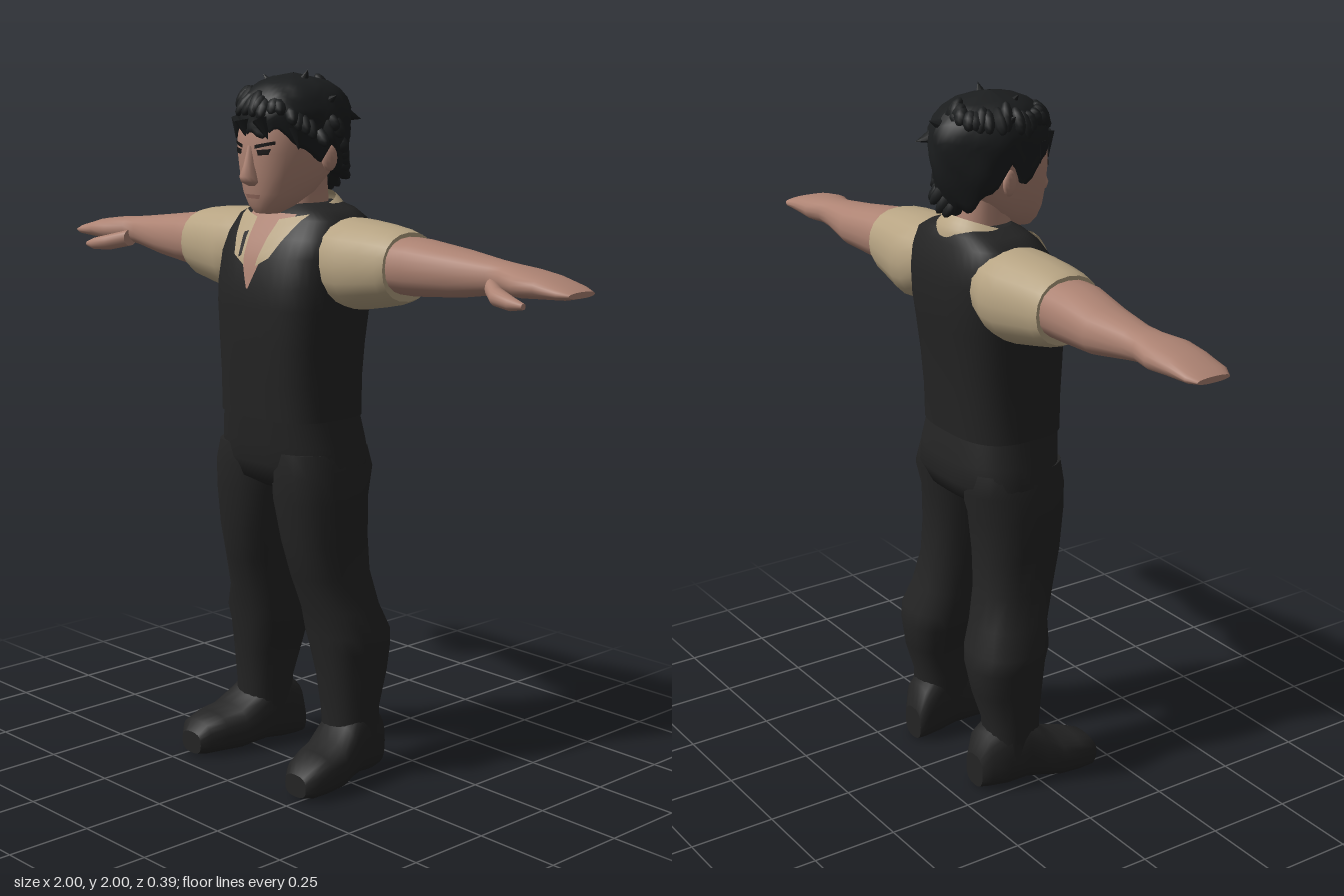
import * as THREE from 'three';

const mat = (name, color, side = THREE.FrontSide) => {
  const m = new THREE.MeshStandardMaterial({ color, side });
  m.name = name;
  return m;
};
const lerp = THREE.MathUtils.lerp;

// Reads a table of [key, ...values] rows at a given key
function sample(rows, t) {
  const up = rows[0][0] < rows[rows.length - 1][0] ? rows : [...rows].reverse();
  let i = 0;
  while (i < up.length - 2 && t > up[i + 1][0]) i++;
  const [p, q] = [up[i], up[i + 1]];
  const k = THREE.MathUtils.clamp((t - p[0]) / (q[0] - p[0]), 0, 1);
  return p.map((v, j) => lerp(v, q[j], k));
}

function buildGeometry(pos, idx) {
  const g = new THREE.BufferGeometry();
  g.setAttribute('position', new THREE.Float32BufferAttribute(pos, 3));
  // Turn the faces outward if the enclosed volume is negative
  const p = (i) => new THREE.Vector3().fromArray(pos, i * 3);
  let vol = 0;
  for (let i = 0; i < idx.length; i += 3) vol += p(idx[i]).dot(p(idx[i + 1]).cross(p(idx[i + 2])));
  g.setIndex(vol < 0 ? idx.reverse() : idx);
  g.computeVertexNormals();
  return g;
}

// Closed body through superellipse rings; rows are [t, aMin, aMax, bMin, bMax]
function loft(axis, rows, { n = 2.3, segs = 20, side = 1 } = {}) {
  const pos = [], idx = [];
  const put = (t, a, b) => {
    const v = axis === 'y' ? [a, t, b] : axis === 'x' ? [t, a, b] : [a, b, t];
    pos.push(v[0] * side, v[1], v[2]);
  };
  const ring = ([t, a0, a1, b0, b1]) => {
    for (let j = 0; j < segs; j++) {
      const c = Math.cos(j / segs * Math.PI * 2), s = Math.sin(j / segs * Math.PI * 2);
      put(t, (a0 + a1) / 2 + (a1 - a0) / 2 * Math.sign(c) * Math.abs(c) ** (2 / n),
        (b0 + b1) / 2 + (b1 - b0) / 2 * Math.sign(s) * Math.abs(s) ** (2 / n));
    }
  };
  rows.forEach(ring);
  for (let i = 0; i < rows.length - 1; i++) for (let j = 0; j < segs; j++) {
    const a = i * segs + j, b = i * segs + (j + 1) % segs;
    idx.push(a, b, a + segs, b, b + segs, a + segs);
  }
  // End caps with their own vertices, so that the rims stay sharp
  for (const r of [rows[0], rows[rows.length - 1]]) {
    const base = pos.length / 3;
    ring(r);
    put(r[0], (r[1] + r[2]) / 2, (r[3] + r[4]) / 2);
    for (let j = 0; j < segs; j++) {
      const a = base + j, b = base + (j + 1) % segs, c = base + segs;
      idx.push(...(r === rows[0] ? [b, a, c] : [a, b, c]));
    }
  }
  return buildGeometry(pos, idx);
}

// Open surface from a function of u and v
function sheet(nu, nv, fn) {
  const g = new THREE.PlaneGeometry(1, 1, nu, nv), p = g.attributes.position;
  for (let i = 0; i < p.count; i++) p.setXYZ(i, ...fn(p.getX(i) + 0.5, p.getY(i) + 0.5));
  g.computeVertexNormals();
  return g;
}

// Thin four-cornered patch laid on the front of a vertical loft
function patch(rows, n, [A, B, C, D], lift) {
  return sheet(8, 8, (u, v) => {
    const [x, y] = [0, 1].map((k) => lerp(lerp(D[k], C[k], u), lerp(A[k], B[k], u), v));
    const [, x0, x1, z0, z1] = sample(rows, y);
    const e = Math.min(1, Math.abs((x - (x0 + x1) / 2) / ((x1 - x0) / 2)));
    return [x, y, (z0 + z1) / 2 + (z1 - z0) / 2 * (1 - e ** n) ** (1 / n) + lift];
  });
}

const TORSO = [
  [1.64, -.10, .10, -.13, .03], [1.625, -.15, .15, -.15, .055], [1.6, -.195, .195, -.165, .08],
  [1.55, -.212, .212, -.182, .118], [1.5, -.215, .215, -.19, .145], [1.42, -.214, .214, -.188, .163],
  [1.36, -.21, .21, -.18, .168], [1.25, -.2, .2, -.168, .167], [1.15, -.195, .195, -.16, .163],
  [1.05, -.2, .2, -.155, .158],
];
const HIPS = [
  [1.05, -.2, .2, -.155, .158], [.98, -.213, .213, -.168, .153], [.92, -.226, .226, -.172, .146],
  [.87, -.22, .22, -.15, .13], [.84, -.12, .12, -.09, .08],
];
const LEG = [
  [.96, .01, .215, -.15, .14], [.9, .003, .232, -.16, .145], [.82, .003, .238, -.137, .138],
  [.7, .025, .236, -.132, .122], [.6, .042, .236, -.136, .098], [.5, .05, .257, -.155, .064],
  [.43, .052, .285, -.178, .055], [.38, .065, .277, -.184, .045], [.3, .09, .268, -.172, .036],
  [.2, .105, .262, -.14, .024], [.1, .11, .265, -.14, .02],
];
const SHOE = [
  [-.172, .125, .21, .0, .1], [-.15, .11, .235, 0, .17], [-.1, .108, .258, 0, .215],
  [-.04, .11, .27, .008, .215], [.01, .115, .285, .006, .17], [.06, .125, .3, 0, .13],
  [.12, .145, .303, 0, .117], [.17, .165, .295, 0, .1], [.195, .185, .27, .005, .07],
];
const ARM = [
  [.36, 1.42, 1.575, -.135, .05], [.47, 1.42, 1.572, -.132, .05], [.6, 1.43, 1.555, -.134, .022],
  [.72, 1.45, 1.54, -.11, 0], [.77, 1.458, 1.535, -.11, .005], [.83, 1.455, 1.53, -.122, .03],
  [.9, 1.46, 1.52, -.116, .026], [.97, 1.465, 1.5, -.11, .022], [1, 1.472, 1.488, -.095, .005],
];
const SLEEVE = [
  [.13, 1.4, 1.6, -.165, .07], [.2, 1.365, 1.608, -.178, .082], [.25, 1.36, 1.606, -.176, .082],
  [.33, 1.375, 1.6, -.16, .075], [.39, 1.388, 1.592, -.15, .068], [.415, 1.4, 1.585, -.143, .06],
];
const THUMB = [
  [.74, 1.45, 1.5, -.03, .02], [.79, 1.437, 1.485, 0, .058], [.85, 1.433, 1.47, .024, .065],
  [.89, 1.44, 1.456, .035, .052],
];
const HEAD = [
  [1.615, -.035, .035, .06, .122], [1.635, -.06, .06, .01, .136], [1.67, -.088, .088, -.05, .146],
  [1.72, -.108, .108, -.1, .152], [1.78, -.12, .12, -.13, .157], [1.85, -.124, .124, -.14, .156],
  [1.91, -.11, .11, -.13, .13], [1.95, -.06, .06, -.07, .06],
];
const NOSE = [
  [1.8, -.012, .012, .12, .16], [1.75, -.016, .016, .12, .174], [1.718, -.024, .024, .12, .187],
  [1.703, -.026, .026, .12, .18], [1.692, -.014, .014, .12, .158],
];
// Hair: size by height, and hairline height by angle from the front
const HAIR_SIZE = [[1.66, .66], [1.7, .78], [1.76, .91], [1.82, .98], [1.89, 1], [1.935, .87], [1.965, .66], [1.985, .35], [1.992, .02]];
const HAIRLINE = [[0, 1.825], [.45, 1.835], [.85, 1.83], [1.2, 1.77], [1.45, 1.765], [1.65, 1.81], [1.95, 1.76], [2.3, 1.7], [3.15, 1.67]];

function hairPoint(a, v) {
  const ab = Math.abs(a), s = Math.sin(a), c = Math.cos(a);
  const line = sample(HAIRLINE, ab)[1] + .012 * Math.sin(a * 11 + 1);
  const y = lerp(line, 1.992, Math.min(1, v));
  const lump = 1 + .035 * Math.sin(a * 7 + v * 5) * Math.cos(v * 9 + a * 2);
  const r = sample(HAIR_SIZE, y)[1] * lump;
  return [s * .142 * r, y, -.005 + c * (c > 0 ? .166 : .178) * r];
}

export function createModel() {
  const black = mat('black cloth', 0x242424), hair = mat('hair', 0x1b1d1e, THREE.DoubleSide);
  const skin = mat('skin', 0xad8373), lip = mat('lips', 0x9a6f62);
  const shirt = mat('shirt', 0xb7a483, THREE.DoubleSide), dark = mat('eye dark', 0x171514, THREE.DoubleSide);
  const skinSheet = skin;
  const model = new THREE.Group();
  const add = (name, geo, m, parent = model) => {
    const mesh = new THREE.Mesh(geo, m);
    mesh.name = name;
    parent.add(mesh);
    return mesh;
  };

  add('vest', loft('y', TORSO, { n: 2.9, segs: 40 }), black);
  add('hips', loft('y', HIPS, { n: 2.6, segs: 40 }), black);
  add('neck', loft('y', [[1.56, -.085, .085, -.12, .06], [1.63, -.074, .074, -.11, .05], [1.72, -.075, .075, -.1, .04]]), skin);
  add('openNeck', patch(TORSO, 2.9, [[-.09, 1.615], [.09, 1.615], [.003, 1.412], [-.003, 1.412]], .005), skinSheet);

  // Standing collar, open at the throat and higher at the nape
  add('collar', sheet(40, 4, (u, v) => {
    const a = lerp(.45, Math.PI * 2 - .45, u), c = Math.cos(a);
    const y = lerp(1.6 - .012 * c, 1.635 - .032 * c, v), k = lerp(1, .76, v * v);
    return [Math.sin(a) * .135 * k, y, -.03 + c * (c > 0 ? .125 : .128) * k];
  }), shirt);

  for (const side of [1, -1]) {
    const tag = side > 0 ? 'left' : 'right';
    const part = (name, axis, rows, m, n) => add(tag + name, loft(axis, rows, { n, side }), m);
    part('Leg', 'y', LEG, black, 2.3);
    part('Shoe', 'z', SHOE, black, 2.7);
    part('Sleeve', 'x', SLEEVE, shirt, 2.2);
    part('Arm', 'x', ARM, skin, 2.3);
    part('Thumb', 'x', THUMB, skin, 2);

    // Front patches; mirrored corners are swapped to keep facing forward
    const flat = (name, rows, n, q, lift, m) => add(tag + name,
      patch(rows, n, side > 0 ? q : [q[1], q[0], q[3], q[2]].map(([x, y]) => [-x, y]), lift), m);
    flat('Lapel', TORSO, 2.9, [[.045, 1.6], [.128, 1.617], [.07, 1.5], [.024, 1.475]], .009, shirt);
    flat('Eye', HEAD, 2.3, [[.03, 1.79], [.07, 1.794], [.064, 1.778], [.034, 1.776]], .003, dark);
    flat('Eyebrow', HEAD, 2.3, [[.024, 1.803], [.08, 1.815], [.08, 1.806], [.024, 1.793]], .004, dark);

    const ear = add(tag + 'Ear', new THREE.SphereGeometry(1, 12, 8), skin);
    ear.scale.set(.013, .036, .024);
    ear.position.set(side * .124, 1.765, -.025);
    ear.rotation.y = side * -.3;
  }
  add('collarShadow', patch(TORSO, 2.9, [[-.062, 1.56], [-.046, 1.565], [-.036, 1.5], [-.046, 1.495]], .012), black);

  add('head', loft('y', HEAD, { n: 2.3, segs: 28 }), skin);
  add('nose', loft('y', NOSE, { n: 2, segs: 12 }), skin);
  add('mouth', patch(HEAD, 2.3, [[-.03, 1.668], [.03, 1.668], [.024, 1.657], [-.024, 1.657]], .003), lip);

  // Hair cap with an inner lip, then locks scattered over it
  const hairGroup = new THREE.Group();
  hairGroup.name = 'hair';
  model.add(hairGroup);
  add('hairCap', sheet(56, 14, (u, v) => {
    const a = lerp(-Math.PI, Math.PI, u);
    const p = hairPoint(a, Math.max(0, (v * 14 - 1) / 13));
    return v < .01 ? [p[0] * .8, p[1] + .005, p[2] * .8] : p;
  }), hair, hairGroup);
  const lock = new THREE.SphereGeometry(1, 8, 6);
  const up = new THREE.Vector3(0, 1, 0);
  for (let i = 0; i < 44; i++) {
    const a = ((i * 2.39996) % (Math.PI * 2)) - Math.PI, v = .1 + .8 * ((i * .618) % 1);
    const p = new THREE.Vector3(...hairPoint(a, v));
    const m = add('lock', lock, hair, hairGroup);
    m.position.copy(p).multiply(new THREE.Vector3(.95, 1, .95));
    m.scale.set(.02, .036 + .008 * Math.sin(i * 3), .018);
    const out = p.clone().sub(new THREE.Vector3(0, 1.8, 0)).normalize();
    m.quaternion.setFromUnitVectors(up, new THREE.Vector3(out.x * .6 + .3 * Math.sin(i), -.7, out.z * .6).normalize());
  }
  // Loose pointed tufts: [x, y, z, tilt about z, tilt about x]
  for (const [x, y, z, rz, rx] of [[.05, 1.975, 0, -.5, 0], [-.06, 1.965, .03, .7, .2], [.12, 1.92, -.03, -1.1, 0],
    [-.12, 1.93, -.02, 1, 0], [0, 1.92, -.17, 0, -1.2], [.06, 1.87, -.17, -.4, -1.9],
    [-.07, 1.84, .135, 2.7, .1], [-.02, 1.84, .15, 3.3, .1], [.05, 1.845, .145, 3.5, .1], [-.11, 1.83, .08, 2.9, 0], [.11, 1.82, .08, 3.3, 0]]) {
    const m = add('tuft', new THREE.ConeGeometry(.026, .06, 7), hair, hairGroup);
    m.position.set(x, y, z);
    m.rotation.set(rx, 0, rz);
  }
  return model;
}
